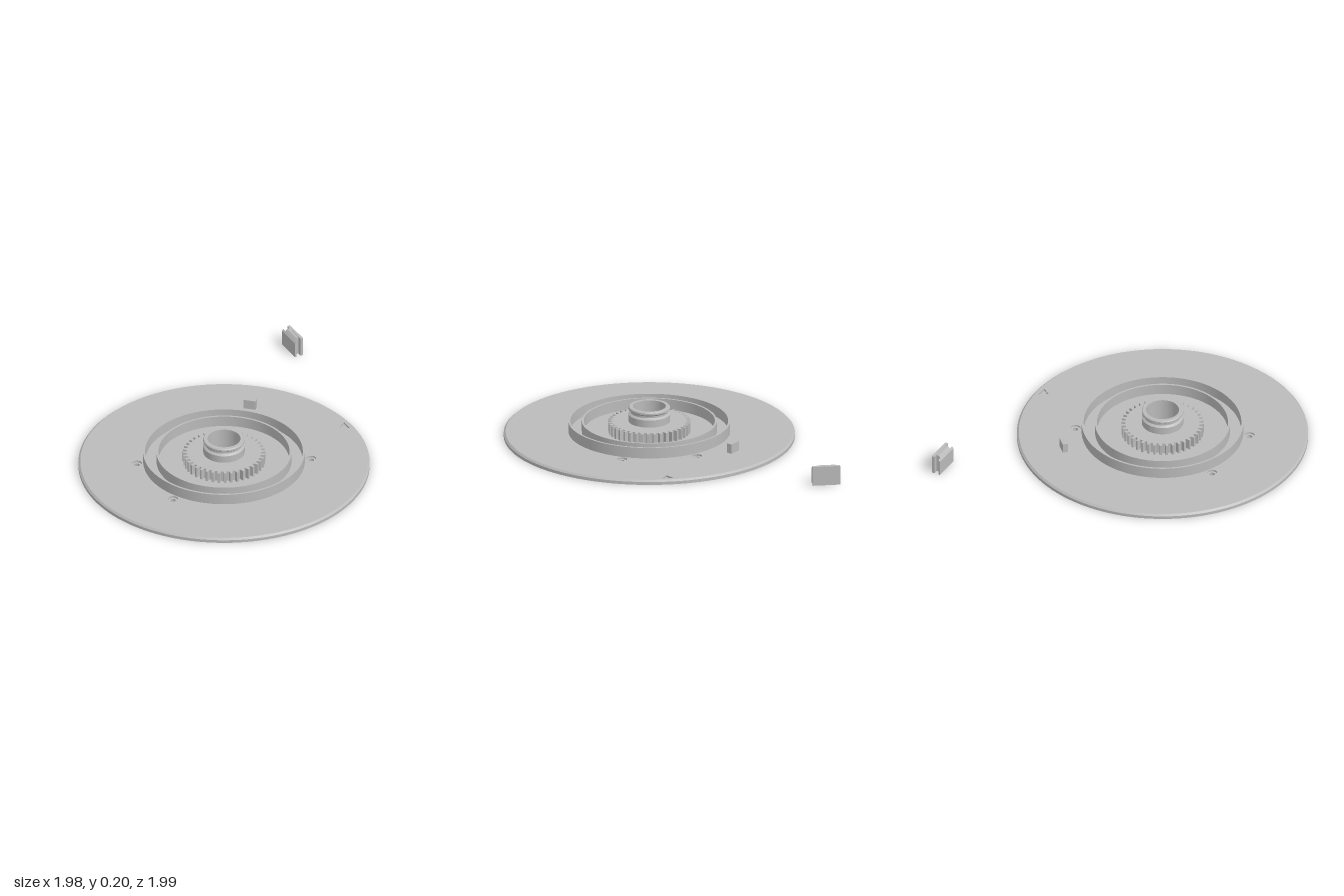
import * as THREE from 'three';
import { toCreasedNormals } from 'three/addons/utils/BufferGeometryUtils.js';

const BORE = 0.104;

export function createModel() {
  const model = new THREE.Group();
  model.name = 'gearedDisc';
  const grey = new THREE.MeshStandardMaterial({ color: 0xbababa });
  grey.name = 'plain grey';

  const disc = new THREE.Group();
  disc.name = 'discAssembly';
  disc.position.set(-0.073, 0, 0.075);
  model.add(disc);

  const add = (parent, name, geometry) => {
    const mesh = new THREE.Mesh(toCreasedNormals(geometry, 0.45), grey);
    mesh.name = name;
    parent.add(mesh);
    return mesh;
  };
  const circle = (Type, x, z, r) => new Type().absarc(x, -z, r, 0, Math.PI * 2, false);
  // Flat shape raised from y0 to y1
  const slab = (shape, y0, y1, segments = 64) =>
    new THREE.ExtrudeGeometry(shape, { depth: y1 - y0, bevelEnabled: false, curveSegments: segments })
      .rotateX(-Math.PI / 2).translate(0, y0, 0);
  const lathe = (points) =>
    new THREE.LatheGeometry(points.map(([r, y]) => new THREE.Vector2(r, y)), 128);

  // Base disc in two layers, so the screw holes are stepped and the pointer is sunk
  const plate = (radius, holeRadius) => {
    const shape = circle(THREE.Shape, 0, 0, radius);
    shape.holes.push(circle(THREE.Path, 0, 0, BORE));
    for (const x of [-0.496, 0.496])
      for (const z of [-0.238, 0.238])
        shape.holes.push(circle(THREE.Path, x, z, holeRadius));
    return shape;
  };
  add(disc, 'baseDisc', slab(plate(0.918, 0.017), 0, 0.019));
  const top = plate(0.906, 0.032);
  top.holes.push(new THREE.Path([
    new THREE.Vector2(0.828, 0),
    new THREE.Vector2(0.882, 0.038),
    new THREE.Vector2(0.882, -0.038),
  ]));
  add(disc, 'discTop', slab(top, 0.019, 0.03));
  add(disc, 'discChamfer', lathe([[0.918, 0.019], [0.906, 0.03]]));

  // Two concentric walls with a groove between them
  for (const [name, inner, outer] of [['outerWall', 0.497, 0.51], ['innerWall', 0.413, 0.426]])
    add(disc, name, lathe([[inner, 0.028], [outer, 0.028], [outer, 0.1], [inner, 0.1], [inner, 0.028]]));

  // Spur gear
  const teeth = 40;
  const outline = [];
  for (let i = 0; i < teeth; i++)
    for (const [step, r] of [[-0.3, 0.234], [-0.17, 0.26], [0.17, 0.26], [0.3, 0.234]]) {
      const a = ((i + step) / teeth) * Math.PI * 2;
      outline.push(new THREE.Vector2(Math.cos(a) * r, Math.sin(a) * r));
    }
  const gear = new THREE.Shape(outline);
  gear.holes.push(circle(THREE.Path, 0, 0, BORE));
  add(disc, 'spurGear', slab(gear, 0.028, 0.1));

  // Hollow hub with a groove below its lip
  add(disc, 'hub', lathe([
    [0.131, 0.098], [0.131, 0.147], [0.117, 0.158], [0.117, 0.17],
    [0.131, 0.181], [0.131, 0.192], [0.126, 0.198], [BORE, 0.198], [BORE, 0],
  ]));

  // Raised key block, set tangentially
  const key = add(disc, 'keyBlock', new THREE.BoxGeometry(0.079, 0.064, 0.035));
  key.position.set(0.446, 0.06, -0.474);
  key.rotation.y = -0.754;

  // Separate clip: two plates joined by a narrower web with a sloping top
  const clip = new THREE.Group();
  clip.name = 'clip';
  clip.position.z = -0.913;
  model.add(clip);
  const profile = (name, points, width) =>
    add(clip, name, new THREE.ExtrudeGeometry(
      new THREE.Shape(points.map(([x, y]) => new THREE.Vector2(x, y))),
      { depth: width, bevelEnabled: false }).translate(0, 0, -width / 2));
  profile('clipInnerPlate', [[0.929, 0], [0.939, 0], [0.939, 0.112], [0.929, 0.1]], 0.174);
  profile('clipWeb', [[0.935, 0.002], [0.972, 0.002], [0.972, 0.123], [0.952, 0.123], [0.935, 0.105]], 0.12);
  profile('clipOuterPlate', [[0.968, 0], [0.987, 0], [0.987, 0.125], [0.968, 0.125]], 0.174);

  return model;
}
